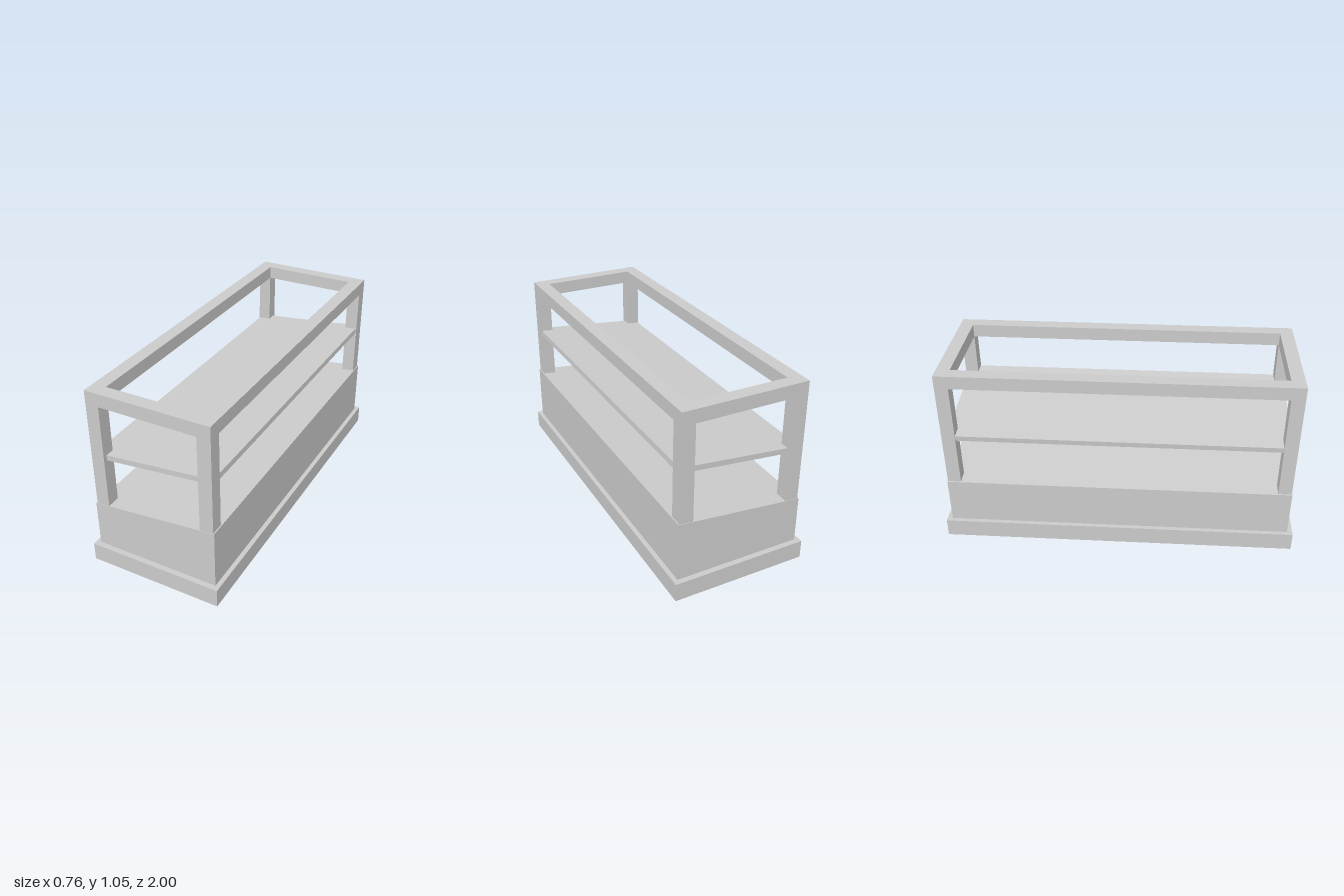
import * as THREE from 'three';

const material = new THREE.MeshStandardMaterial({ color: 0xcccccc, flatShading: true, side: THREE.DoubleSide });
const SLOPE = 0.1; // rise of deck and shelf towards +x

function addPart(parent, name, geometry, x = 0, y = 0, z = 0) {
  const mesh = new THREE.Mesh(geometry, material);
  mesh.name = name;
  mesh.position.set(x, y, z);
  parent.add(mesh);
  return mesh;
}

// Thin shell through rectangular rings [halfX, halfZ, y, slope], closed on the last ring
function rectShell(rings) {
  const corners = rings.map(([hx, hz, y, s = 0]) =>
    [[-1, 1], [1, 1], [1, -1], [-1, -1]].map(([a, b]) => [a * hx, y + s * a * hx, b * hz]));
  const positions = [];
  const quad = (a, b, c, d) => positions.push(...a, ...b, ...c, ...a, ...c, ...d);
  for (let i = 0; i < corners.length - 1; i++) {
    const lo = corners[i], hi = corners[i + 1];
    for (let k = 0; k < 4; k++) {
      const n = (k + 1) % 4;
      quad(lo[k], lo[n], hi[n], hi[k]);
    }
  }
  quad(...corners[corners.length - 1]);
  const geometry = new THREE.BufferGeometry();
  geometry.setAttribute('position', new THREE.Float32BufferAttribute(positions, 3));
  geometry.computeVertexNormals();
  return geometry;
}

function rectangle(PathType, hx, hz) {
  return new PathType([[-hx, -hz], [hx, -hz], [hx, hz], [-hx, hz]].map(p => new THREE.Vector2(...p)));
}

export function createModel() {
  const model = new THREE.Group();
  model.name = 'displayCounter';

  // Hollow base: plinth skirt, ledge, body walls and sloping deck, open underneath
  addPart(model, 'base', rectShell([
    [0.38, 1, 0],
    [0.38, 1, 0.105],
    [0.355, 0.97, 0.105],
    [0.355, 0.97, 0.405, SLOPE],
  ]));

  // Hollow square corner posts, sunk slightly through the deck
  const width = 0.075, bottom = 0.33, top = 0.976;
  const post = new THREE.CylinderGeometry(width / Math.SQRT2, width / Math.SQRT2, top - bottom, 4, 1, true);
  post.rotateY(Math.PI / 4);
  for (const sx of [-1, 1]) {
    for (const sz of [-1, 1]) {
      addPart(model, 'cornerPost', post, sx * 0.3105, (top + bottom) / 2, sz * 0.93);
    }
  }

  // Rectangular top frame
  const frame = rectangle(THREE.Shape, 0.348, 0.9675);
  frame.holes.push(rectangle(THREE.Path, 0.273, 0.8925));
  const frameGeometry = new THREE.ExtrudeGeometry(frame, { depth: 0.074, bevelEnabled: false });
  frameGeometry.rotateX(-Math.PI / 2);
  addPart(model, 'topFrame', frameGeometry, 0, 0.976, 0);

  // Tilted shelf: a panel with a thin rim hanging below its edge
  const shelf = new THREE.Group();
  shelf.name = 'shelf';
  shelf.position.y = 0.695;
  shelf.rotation.z = Math.atan(SLOPE);
  const hx = 0.345, hz = 0.945, rim = 0.005;
  addPart(shelf, 'shelfPanel', new THREE.BoxGeometry(2 * hx, 0.014, 2 * hz), 0, 0.008, 0);
  for (const s of [-1, 1]) {
    addPart(shelf, 'shelfSideRim', new THREE.BoxGeometry(rim, 0.016, 2 * hz), s * (hx - rim / 2), -0.007, 0);
    addPart(shelf, 'shelfEndRim', new THREE.BoxGeometry(2 * hx - 2 * rim, 0.016, rim), 0, -0.007, s * (hz - rim / 2));
  }
  model.add(shelf);

  return model;
}
